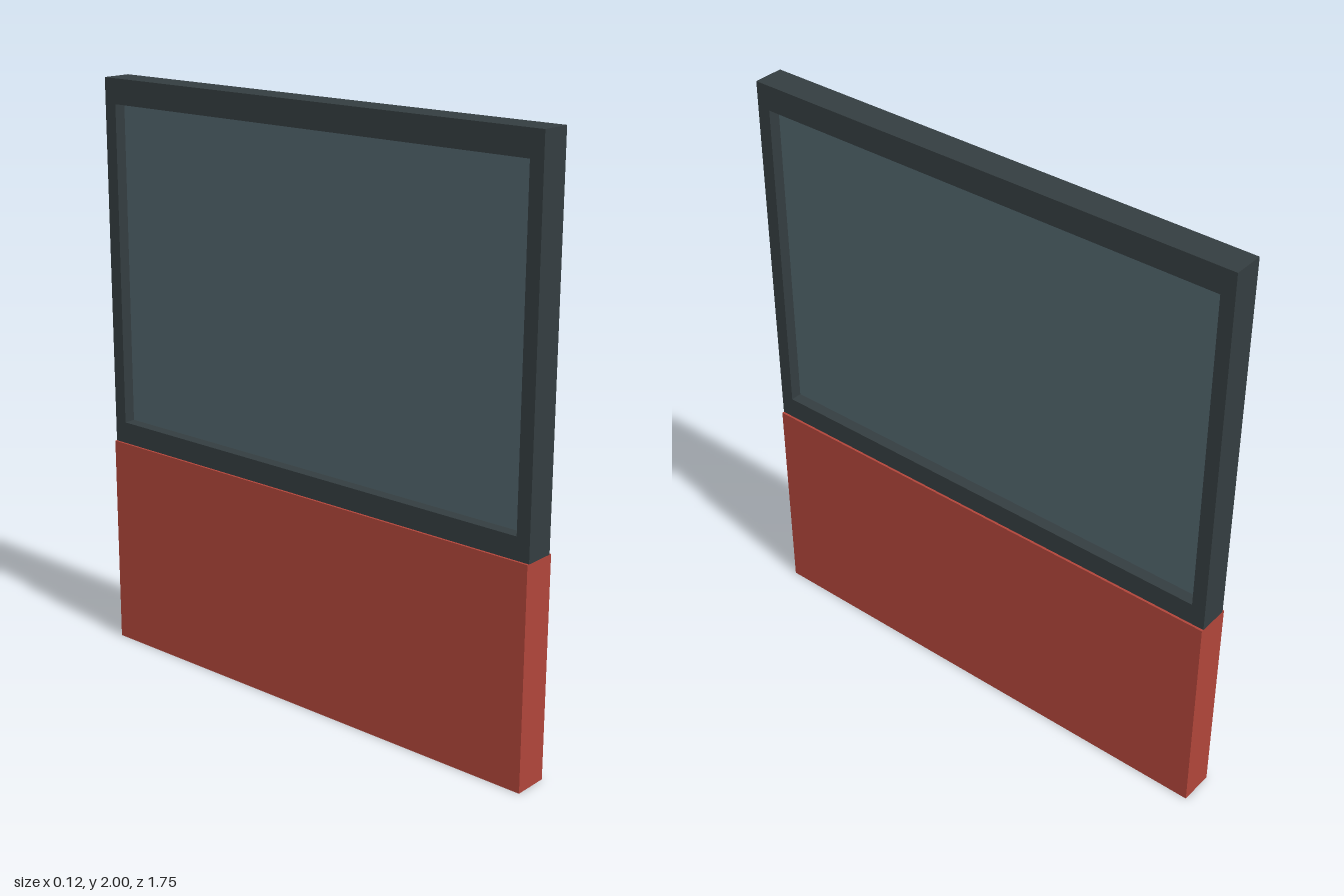
import * as THREE from 'three';

const HALF_LENGTH = 0.877, PANEL_TOP = 0.74, HEIGHT = 2;

function addPart(group, name, geometry, color) {
  const material = new THREE.MeshStandardMaterial({ color });
  const mesh = new THREE.Mesh(geometry, material);
  mesh.name = name;
  group.add(mesh);
  return mesh;
}

// Rectangle outline, symmetric about the vertical axis
function rectangle(PathType, half, bottom, top) {
  return new PathType([
    new THREE.Vector2(-half, bottom),
    new THREE.Vector2(half, bottom),
    new THREE.Vector2(half, top),
    new THREE.Vector2(-half, top),
  ]);
}

export function createModel() {
  const group = new THREE.Group();
  group.name = 'windowWall';

  // Solid lower wall panel, slightly thicker than the frame
  addPart(group, 'lowerPanel', new THREE.BoxGeometry(0.12, PANEL_TOP, HALF_LENGTH * 2), 0xb0453a)
    .position.y = PANEL_TOP / 2;

  // Window frame with one large opening
  const outline = rectangle(THREE.Shape, HALF_LENGTH, PANEL_TOP, HEIGHT);
  outline.holes.push(rectangle(THREE.Path, 0.83, 0.815, 1.915));
  const frame = new THREE.ExtrudeGeometry(outline, { depth: 0.104, bevelEnabled: false });
  frame.translate(0, 0, -0.052).rotateY(Math.PI / 2);
  addPart(group, 'windowFrame', frame, 0x343d40);

  // Pane recessed equally from both faces
  addPart(group, 'windowPane', new THREE.BoxGeometry(0.024, 1.1, 1.66), 0x50646b)
    .position.y = 1.365;

  return group;
}
